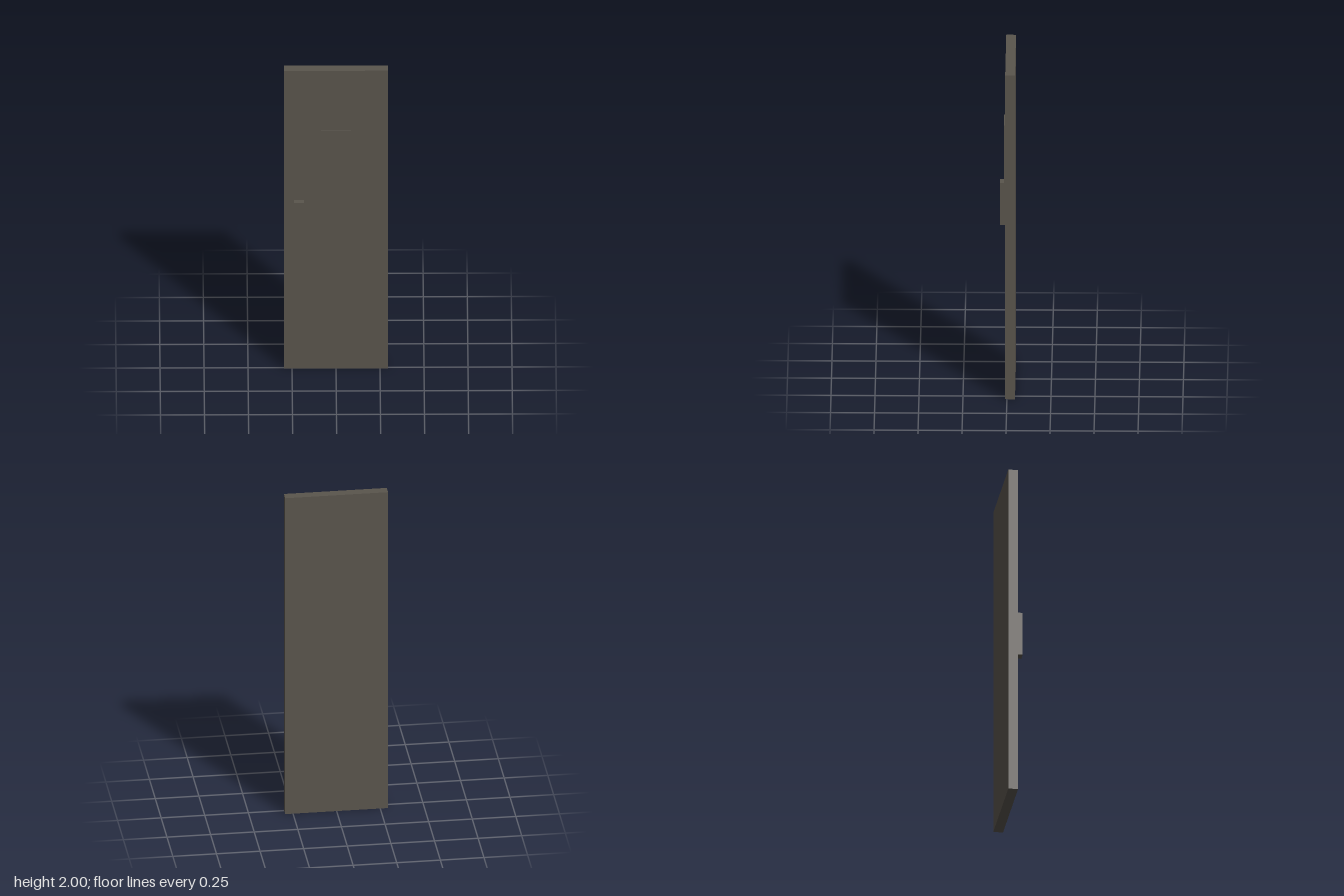
import * as THREE from 'three';

const darkBronze = new THREE.MeshStandardMaterial({ color: 0x5a554d });
darkBronze.name = 'darkBronze';

// Box given by its lower and upper corners
function slab(name, [x0, y0, z0], [x1, y1, z1]) {
  const mesh = new THREE.Mesh(new THREE.BoxGeometry(x1 - x0, y1 - y0, z1 - z0), darkBronze);
  mesh.position.set((x0 + x1) / 2, (y0 + y1) / 2, (z0 + z1) / 2);
  mesh.name = name;
  return mesh;
}

export function createModel() {
  const door = new THREE.Group();
  door.name = 'door';
  const face = 0.01; // front surface of the door leaf
  door.add(
    slab('doorLeaf', [-0.295, 0, -0.046], [0.295, 2, face]),
    // Raised viewing panel
    slab('windowPanel', [-0.085, 1.073, face], [0.085, 1.6, face + 0.009]),
    // Pull handle
    slab('handle', [-0.239, 0.871, face], [-0.183, 1.133, 0.045]),
  );
  return door;
}
